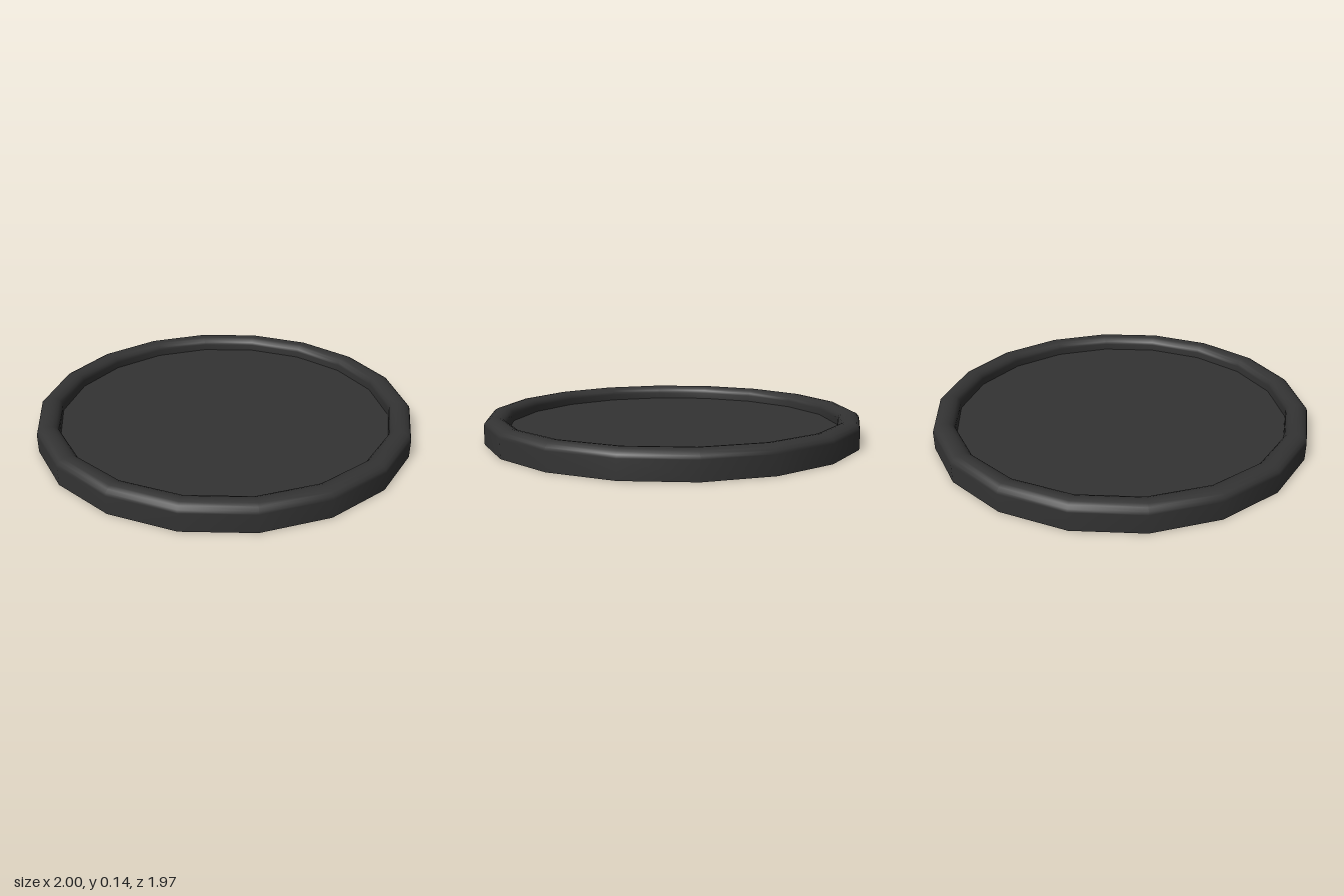
import * as THREE from 'three';

const SIDES = 18;
const OUTER = 1, INNER = 0.885, HEIGHT = 0.135, FLOOR = 0.06;
const material = new THREE.MeshStandardMaterial({ color: 0x333333 });

// Flat 18-sided disc, facing up or down
function disc(name, radius, y, up) {
  const geometry = new THREE.CircleGeometry(radius, SIDES);
  geometry.rotateX(up ? -Math.PI / 2 : Math.PI / 2);
  const mesh = new THREE.Mesh(geometry, material);
  mesh.position.y = y;
  mesh.name = name;
  return mesh;
}

export function createModel() {
  const group = new THREE.Group();
  group.name = 'shallowTray';

  // Rim: outer wall, rounded lip, inner wall down to the floor
  const mid = (OUTER + INNER) / 2, half = (OUTER - INNER) / 2;
  const lip = 0.04, steps = 8;
  const profile = [new THREE.Vector2(OUTER, 0)];
  for (let i = 0; i <= steps; i++) {
    const a = (i / steps) * Math.PI;
    profile.push(new THREE.Vector2(mid + half * Math.cos(a), HEIGHT - lip + lip * Math.sin(a)));
  }
  profile.push(new THREE.Vector2(INNER, FLOOR));

  // Half-step start puts a corner on the x axis
  const rim = new THREE.Mesh(new THREE.LatheGeometry(profile, SIDES, Math.PI / SIDES), material);
  rim.name = 'rim';

  group.add(rim, disc('floor', INNER, FLOOR, true), disc('underside', OUTER, 0, false));
  return group;
}
